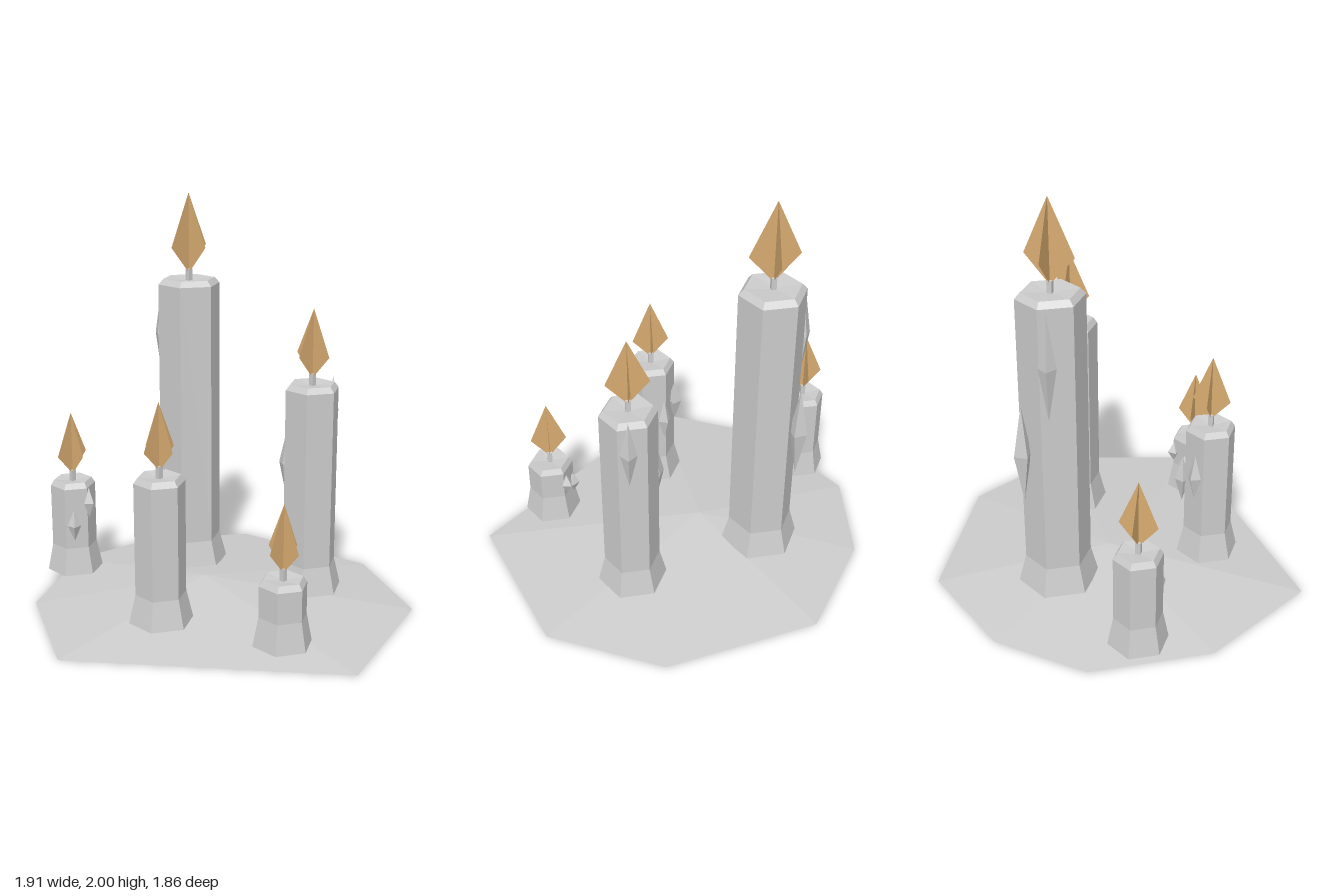
import * as THREE from 'three';

const wax = new THREE.MeshStandardMaterial({ color: 0xcccccc, flatShading: true });
wax.name = 'wax';
const fire = new THREE.MeshStandardMaterial({ color: 0xd8ab70, flatShading: true, side: THREE.DoubleSide });
fire.name = 'flame orange';

const FOOT = 0.07; // height at which every candle starts

function add(parent, name, geometry, material) {
  const mesh = new THREE.Mesh(geometry, material);
  mesh.name = name;
  parent.add(mesh);
  return mesh;
}

// Irregular puddle: outline ring at ground level rising to an off-centre peak
function puddleGeometry() {
  const ring = [[0.19, -0.93], [0.72, -0.65], [0.955, 0.075], [-0.09, 0.925],
    [-0.66, 0.63], [-0.96, 0.125], [-0.9, -0.35], [-0.57, -0.8]];
  const peak = [-0.14, 0.105, -0.05];
  const centre = [-0.14, 0, -0.05];
  const pos = [];
  ring.forEach(([x, z], i) => {
    const [nx, nz] = ring[(i + 1) % ring.length];
    pos.push(...peak, nx, 0, nz, x, 0, z);
    pos.push(...centre, x, 0, z, nx, 0, nz);
  });
  const g = new THREE.BufferGeometry();
  g.setAttribute('position', new THREE.Float32BufferAttribute(pos, 3));
  g.computeVertexNormals();
  return g;
}

// Flat kite for one half of a crossed flame
function flameGeometry(bottom, wide, tip, half) {
  const s = new THREE.Shape();
  s.moveTo(0, bottom);
  s.lineTo(half, wide);
  s.lineTo(0, tip);
  s.lineTo(-half, wide);
  s.closePath();
  return new THREE.ShapeGeometry(s);
}

function candle({ x, z, r, foot, top, flame, drips }) {
  const group = new THREE.Group();
  group.name = 'candle';
  group.position.set(x, 0, z);

  // Six-sided body: flared foot, straight shaft, bevelled rim, shallow dished top
  const profile = [[0, FOOT], [foot, FOOT], [r, 0.21], [r, top - 0.028],
    [r * 0.84, top], [0, top - 0.012]].map(([a, b]) => new THREE.Vector2(a, b));
  add(group, 'body', new THREE.LatheGeometry(profile, 6, Math.PI / 6), wax);

  // Wick
  add(group, 'wick', new THREE.BoxGeometry(0.024, 0.065, 0.024), wax).position.y = top + 0.015;

  // Two crossed flame planes
  const [wide, tip, half] = flame;
  for (const turn of [0, Math.PI / 2]) {
    add(group, 'flame', flameGeometry(top + 0.025, wide, tip, half), fire).rotation.y = turn;
  }

  // Wax drips: stretched octahedra on the side, a corner facing outwards
  for (const [dx, dz, y, h, w] of drips) {
    const drip = add(group, 'drip', new THREE.OctahedronGeometry(1), wax);
    drip.scale.set(w, h, w);
    drip.position.set(dx, y, dz);
    drip.rotation.y = -Math.atan2(dz, dx);
  }
  return group;
}

export function createModel() {
  const model = new THREE.Group();
  model.name = 'candles';
  add(model, 'puddle', puddleGeometry(), wax);

  // flame: [widest height, tip height, half width]; drips: [dx, dz, y, half height, radius]
  const candles = [
    { x: -0.417, z: -0.215, r: 0.158, foot: 0.195, top: 1.577, flame: [1.737, 2, 0.118],
      drips: [[-0.16, 0.04, 1.28, 0.26, 0.042], [-0.135, -0.105, 0.81, 0.25, 0.045]] },
    { x: 0.263, z: -0.387, r: 0.135, foot: 0.169, top: 1.123, flame: [1.262, 1.487, 0.101],
      drips: [[0.02, -0.132, 0.96, 0.18, 0.04], [-0.128, 0.035, 0.7, 0.17, 0.04]] },
    { x: 0.037, z: 0.408, r: 0.122, foot: 0.155, top: 0.785, flame: [0.912, 1.135, 0.092],
      drips: [[-0.118, -0.042, 0.54, 0.12, 0.036], [-0.05, -0.122, 0.48, 0.125, 0.036]] },
    { x: -0.757, z: 0.297, r: 0.114, foot: 0.142, top: 0.557, flame: [0.69, 0.907, 0.09],
      drips: [[0.113, -0.012, 0.45, 0.08, 0.034], [0.092, 0.07, 0.34, 0.083, 0.034]] },
    { x: 0.603, z: 0.183, r: 0.114, foot: 0.141, top: 0.387, flame: [0.52, 0.737, 0.09],
      drips: [[-0.11, -0.023, 0.235, 0.06, 0.034], [-0.072, -0.093, 0.29, 0.055, 0.034]] },
  ];
  for (const c of candles) model.add(candle(c));
  return model;
}
